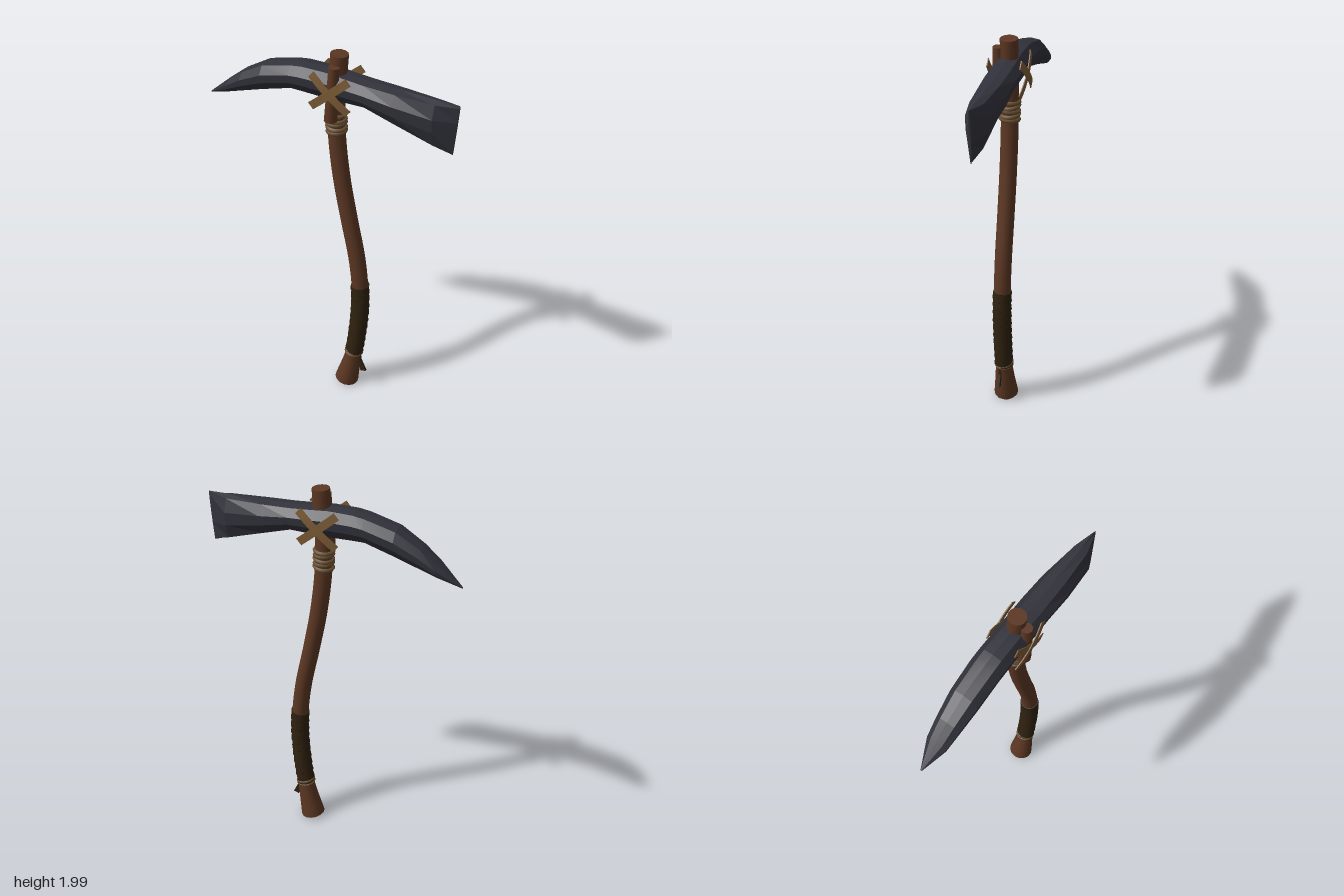
import * as THREE from 'three';
import { toCreasedNormals } from 'three/addons/utils/BufferGeometryUtils.js';

const V = (x, y, z = 0) => new THREE.Vector3(x, y, z);

// Skin a list of equal-length rings; both ends are closed with fans
function loft(rings, crease) {
  const n = rings[0].length, pos = [], idx = [];
  rings.forEach(r => r.forEach(p => pos.push(p.x, p.y, p.z)));
  for (let i = 0; i < rings.length - 1; i++) {
    for (let j = 0; j < n; j++) {
      const a = i * n + j, b = i * n + (j + 1) % n;
      idx.push(a, a + n, b, b, a + n, b + n);
    }
  }
  [0, rings.length - 1].forEach((i, end) => {
    const c = rings[i].reduce((s, p) => s.add(p), V(0, 0)).divideScalar(n);
    const k = pos.length / 3;
    pos.push(c.x, c.y, c.z);
    for (let j = 0; j < n; j++) {
      const a = i * n + j, b = i * n + (j + 1) % n;
      idx.push(...(end ? [k, b, a] : [k, a, b]));
    }
  });
  const g = new THREE.BufferGeometry();
  g.setAttribute('position', new THREE.Float32BufferAttribute(pos, 3));
  g.setIndex(idx);
  return toCreasedNormals(g, crease);
}

// Curved centre line of the handle, from butt to top
const path = new THREE.CatmullRomCurve3([
  V(0.115, 0.02), V(0.147, 0.18), V(0.172, 0.36), V(0.186, 0.55), V(0.182, 0.7), V(0.16, 0.88),
  V(0.115, 1.1), V(0.072, 1.33), V(0.046, 1.55), V(0.041, 1.7), V(0.046, 1.85), V(0.056, 1.995),
]);

// Path parameter at a given height
function atHeight(y) {
  let lo = 0, hi = 1;
  for (let i = 0; i < 24; i++) {
    const m = (lo + hi) / 2;
    if (path.getPointAt(m).y < y) lo = m; else hi = m;
  }
  return lo;
}

// Round sweep along the handle path; radius(y, angle, s) sets the thickness
function sweep(y0, y1, steps, sides, radius, crease) {
  const u0 = atHeight(y0), u1 = atHeight(y1), rings = [];
  for (let i = 0; i <= steps; i++) {
    const s = i / steps, u = u0 + (u1 - u0) * s;
    const c = path.getPointAt(u), t = path.getTangentAt(u);
    rings.push(Array.from({ length: sides }, (_, j) => {
      const a = j / sides * Math.PI * 2, r = radius(c.y, a, s);
      return V(c.x + t.y * Math.cos(a) * r, c.y - t.x * Math.cos(a) * r, Math.sin(a) * r);
    }));
  }
  return loft(rings, crease);
}

export function createModel() {
  const model = new THREE.Group();
  const mat = (name, color) => {
    const m = new THREE.MeshStandardMaterial({ color });
    m.name = name;
    return m;
  };
  const wood = mat('wood', 0x5c3723);
  const stone = mat('dark stone', 0x32323c);
  const strapMat = mat('tan strap', 0x7d5c36);
  const rope = mat('rope', 0x6a5032);
  const leather = mat('dark leather', 0x2e210f);
  const add = (name, geo, material) => {
    const m = new THREE.Mesh(geo, material);
    m.name = name;
    model.add(m);
    return m;
  };

  // Handle with a flared butt
  const flare = y => 0.043 + 0.024 * Math.pow(Math.max(0, 1 - y / 0.24), 1.2);
  add('handle', sweep(0, 2, 48, 14, flare, 0.7), wood);

  // Leather grip wound as an overlapping spiral
  const turns = 10;
  add('grip', sweep(0.235, 0.7, 100, 20, (y, a, s) => {
    const f = s * turns - a / (Math.PI * 2);
    return 0.045 + 0.005 * (1 - (f - Math.floor(f)));
  }, 0.5), leather);

  // Rope rings around the handle
  const ring = (name, y, radius, thick, tilt) => {
    const u = atHeight(y), t = path.getTangentAt(u);
    const m = add(name, new THREE.TorusGeometry(radius, thick, 6, 18), rope);
    m.position.copy(path.getPointAt(u));
    m.quaternion.setFromUnitVectors(V(0, 0, 1), V(t.x + tilt, t.y, tilt * 0.6).normalize());
  };
  for (let i = 0; i < 5; i++) ring('upperBinding', 1.592 + i * 0.022, 0.043, 0.0115, i % 2 ? 0.1 : -0.06);
  for (let i = 0; i < 2; i++) ring('lowerBinding', 0.23 + i * 0.015, 0.043, 0.008, i ? 0.08 : -0.06);

  // Loose leather end hanging below the grip
  const tail = new THREE.Shape([[0.175, 0.25], [0.195, 0.25], [0.205, 0.19], [0.235, 0.125], [0.205, 0.115], [0.192, 0.17]]
    .map(p => new THREE.Vector2(...p)));
  const tailMesh = add('looseEnd', new THREE.ExtrudeGeometry(tail, { depth: 0.012, bevelEnabled: false }), leather);
  tailMesh.position.z = 0.004;

  // Head sections: x, bottom y, top y, half thickness
  const sections = [
    [-0.65, 1.627, 1.633, 0.004], [-0.53, 1.668, 1.738, 0.053], [-0.45, 1.694, 1.802, 0.062],
    [-0.33, 1.733, 1.872, 0.073], [-0.18, 1.776, 1.908, 0.076], [-0.12, 1.774, 1.916, 0.076],
    [0.0, 1.768, 1.915, 0.075], [0.1, 1.768, 1.903, 0.075], [0.2, 1.768, 1.892, 0.075],
    [0.35, 1.718, 1.885, 0.073], [0.54, 1.651, 1.878, 0.055], [0.64, 1.618, 1.874, 0.005],
  ];
  // Half outline of a section: depth share, height share
  const half = [[0.6, 0.95], [1, 0.66], [0.95, 0.36], [0.5, 0.03]];
  const outline = [[0, 1], ...half.map(([z, t]) => [-z, t]), [0, 0],
    ...half.slice().reverse()];
  const rings = sections.map(([x, y0, y1, w]) => outline.map(([z, t]) =>
    V(x + (x > 0.6 ? (t - 0.5) * 0.018 : 0), y0 + (y1 - y0) * t, z * w)));
  add('head', loft(rings, 0.12), stone);

  // Short wooden splint wedged against the front of the head
  const splint = add('splint', new THREE.CylinderGeometry(0.027, 0.034, 0.28, 8), wood);
  splint.position.set(0.046, 1.81, 0.053);
  splint.rotation.z = -0.06;

  // Crossed straps, slightly bowed, on the front and back
  for (const side of [1, -1]) {
    for (const lean of [1, -1]) {
      const g = new THREE.BoxGeometry(0.25, 0.04, 0.005, 8, 1, 1);
      const p = g.attributes.position;
      for (let i = 0; i < p.count; i++) {
        const k = p.getX(i) / 0.125;
        p.setZ(i, p.getZ(i) - side * 0.011 * k * k);
      }
      g.computeVertexNormals();
      const strap = add(side > 0 ? 'frontStrap' : 'backStrap', g, strapMat);
      strap.position.set(0.042, 1.82, side * (0.088 + lean * 0.002));
      strap.rotation.z = lean * 0.71;
    }
  }
  return model;
}
